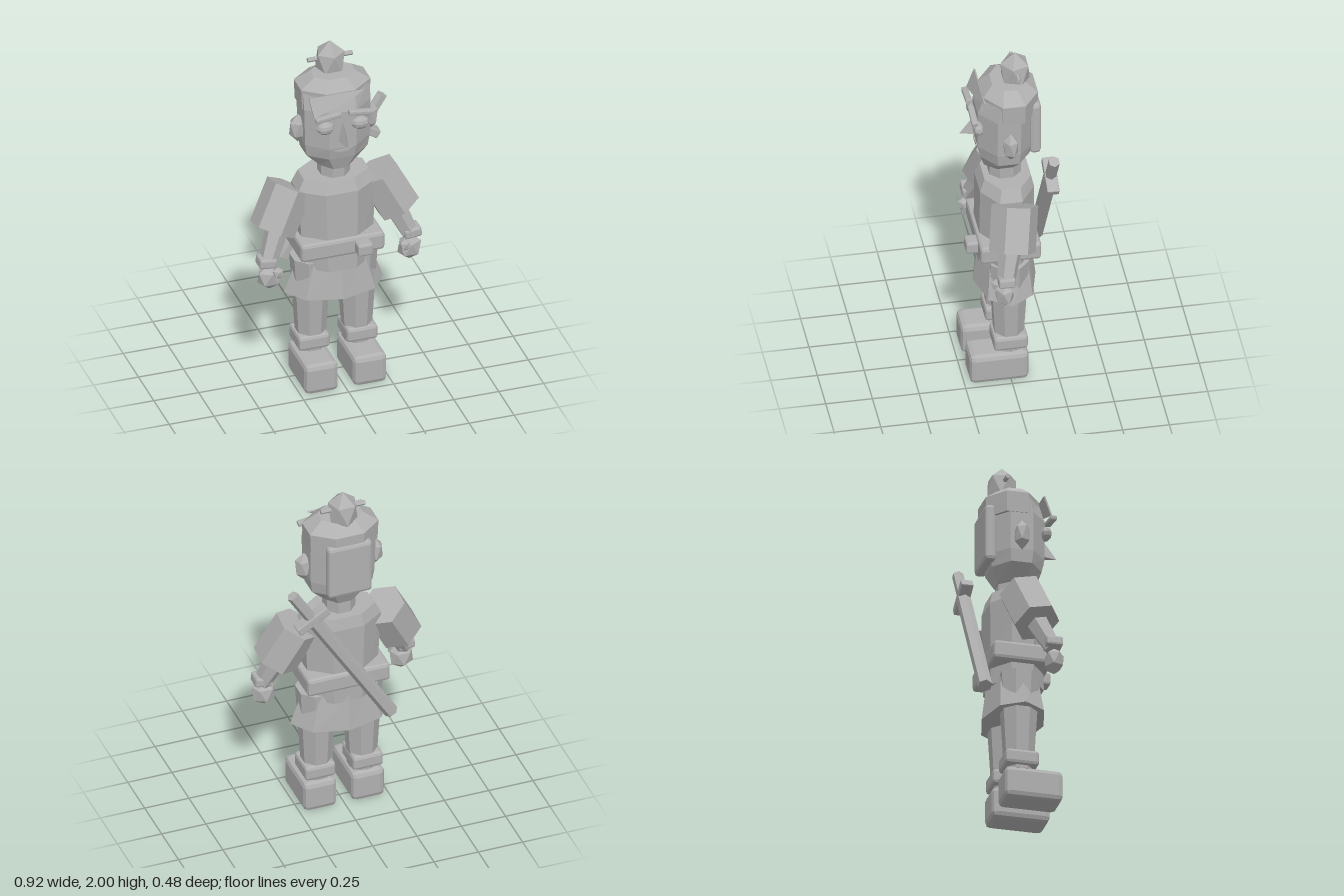
import * as THREE from 'three';
import { RoundedBoxGeometry } from 'three/addons/geometries/RoundedBoxGeometry.js';

// Stack of eight-sided rings [y, halfWidth, zFront, zBack], listed bottom to top.
function loft(rings, flatFront = true) {
  const n = 8, pos = [], idx = [];
  const phase = flatFront ? Math.PI / n : 0;
  const grow = flatFront ? 1 / Math.cos(Math.PI / n) : 1;
  for (const [y, rx, zf, zb] of rings) {
    for (let i = 0; i < n; i++) {
      const a = phase + (i / n) * Math.PI * 2;
      pos.push(Math.sin(a) * rx * grow, y, (zf + zb) / 2 + Math.cos(a) * ((zf - zb) / 2) * grow);
    }
  }
  const last = rings.length - 1, bottom = rings.length * n, top = bottom + 1;
  for (const [y, , zf, zb] of [rings[0], rings[last]]) pos.push(0, y, (zf + zb) / 2);
  for (let i = 0; i < n; i++) {
    const j = (i + 1) % n;
    for (let r = 0; r < last; r++) {
      const a = r * n, b = a + n;
      idx.push(a + i, a + j, b + j, a + i, b + j, b + i);
    }
    idx.push(bottom, j, i, top, last * n + i, last * n + j);
  }
  const g = new THREE.BufferGeometry();
  g.setAttribute('position', new THREE.Float32BufferAttribute(pos, 3));
  g.setIndex(idx);
  g.computeVertexNormals();
  return g;
}

// Icosahedron with a corner straight up, stretched to the given radii.
function gem(rx, ry, rz) {
  return new THREE.IcosahedronGeometry(1, 0)
    .rotateZ(Math.atan(2 / (1 + Math.sqrt(5)))).rotateY(Math.PI / 10).scale(rx, ry, rz);
}

const chamferBox = (w, h, d, r) => new RoundedBoxGeometry(w, h, d, 1, r);

export function createModel() {
  const model = new THREE.Group();
  const clay = new THREE.MeshStandardMaterial({ color: 0xb0b0b0, flatShading: true });
  clay.name = 'plain grey';

  function add(name, geometry, x = 0, y = 0, z = 0, parent = model) {
    const mesh = new THREE.Mesh(geometry, clay);
    mesh.name = name;
    mesh.position.set(x, y, z);
    parent.add(mesh);
    return mesh;
  }

  // Six-sided limb running between two points
  function limb(name, from, to, r0, r1) {
    const a = new THREE.Vector3(...from), b = new THREE.Vector3(...to);
    const dir = b.clone().sub(a), len = dir.length();
    const mesh = add(name, new THREE.CylinderGeometry(r0, r1, len, 6));
    mesh.position.copy(a).add(b).multiplyScalar(0.5);
    mesh.quaternion.setFromUnitVectors(new THREE.Vector3(0, 1, 0), dir.negate().normalize());
    return mesh;
  }

  // Head, hair and neck
  add('head', loft([
    [1.31, 0.09, 0.115, -0.09],
    [1.39, 0.17, 0.14, -0.13],
    [1.46, 0.18, 0.155, -0.145],
    [1.68, 0.185, 0.155, -0.15],
    [1.79, 0.185, 0.118, -0.15],
  ]));
  add('hairCap', loft([
    [1.67, 0.188, 0.125, -0.165],
    [1.785, 0.193, 0.125, -0.167],
    [1.84, 0.115, 0.072, -0.1],
  ]));
  add('backHair', chamferBox(0.25, 0.32, 0.06, 0.02), 0, 1.57, -0.148);
  add('neck', loft([[1.2, 0.08, 0.085, -0.085], [1.35, 0.08, 0.085, -0.085]]));
  add('topknot', gem(0.088, 0.118, 0.088), 0, 1.882, -0.058);
  add('hairPin', new THREE.CylinderGeometry(0.013, 0.013, 0.25, 6).rotateZ(Math.PI / 2), 0, 1.902, -0.058);

  // Fringe swept to one side
  const fringe = new THREE.Shape([
    [-0.18, 0], [0.13, 0], [0.02, -0.055], [-0.165, -0.11],
  ].map(([x, y]) => new THREE.Vector2(x, y)));
  add('fringe', new THREE.ExtrudeGeometry(fringe, { depth: 0.009, bevelEnabled: false }), 0, 1.78, 0.122).rotation.x = -0.4;

  // Face
  add('nose', new THREE.ConeGeometry(0.08, 0.11, 3).scale(0.5, 1, 1), 0, 1.56, 0.16);
  const smile = new THREE.Shape([
    [-0.05, 0], [-0.02, -0.012], [0.03, -0.01], [0.055, 0.008], [0.045, 0.014], [0, 0],
  ].map(([x, y]) => new THREE.Vector2(x, y)));
  add('mouth', new THREE.ExtrudeGeometry(smile, { depth: 0.009, bevelEnabled: false }), 0, 1.45, 0.15);

  // Paired parts
  for (const s of [1, -1]) {
    const side = s > 0 ? 'left' : 'right';
    add(side + 'Eye', new THREE.SphereGeometry(1, 8, 6).scale(0.05, 0.037, 0.03), s * 0.097, 1.6, 0.157);
    add(side + 'Eyebrow', chamferBox(0.142, 0.025, 0.034, 0.006), s * 0.092, 1.682, 0.184).rotation.z = -s * 0.13;
    add(side + 'Ear', gem(0.053, 0.085, 0.045), s * 0.198, 1.533, 0);

    // Legs and boots
    add(side + 'Leg', new THREE.CylinderGeometry(0.112, 0.078, 0.56, 8).rotateY(Math.PI / 8), s * 0.128, 0.46, 0);
    add(side + 'AnkleWrap', chamferBox(0.172, 0.085, 0.182, 0.018), s * 0.134, 0.238, 0);
    add(side + 'Ankle', new THREE.CylinderGeometry(0.07, 0.07, 0.06, 8), s * 0.134, 0.19, 0);
    add(side + 'Boot', chamferBox(0.186, 0.175, 0.315, 0.028), s * 0.135, 0.0885, 0.0625);

    // Arms: the right one swings slightly further forward
    const f = s > 0 ? 0 : 0.05;
    limb(side + 'Sleeve', [s * 0.24, 1.175, -0.015], [s * 0.355, 0.957, 0.02 + f * 0.4], 0.126, 0.126);
    limb(side + 'Forearm', [s * 0.32, 0.99, 0.02 + f * 0.4], [s * 0.41, 0.79, 0.065 + f], 0.066, 0.048);
    add(side + 'Cuff', chamferBox(0.095, 0.055, 0.09, 0.012), s * 0.412, 0.815, 0.062 + f).rotation.z = s * 0.12;
    add(side + 'Hand', gem(0.072, 0.075, 0.055), s * 0.398, 0.722, 0.07 + f);
    add(side + 'Thumb', gem(0.032, 0.035, 0.032), s * 0.362, 0.757, 0.105 + f);
  }

  // Tunic, skirt and belt
  add('tunic', loft([
    [0.7, 0.19, 0.15, -0.14],
    [1.17, 0.215, 0.145, -0.145],
    [1.237, 0.18, 0.118, -0.13],
  ]));
  add('skirt', loft([[0.53, 0.275, 0.17, -0.168], [0.735, 0.2, 0.142, -0.142]], false));
  add('belt', chamferBox(0.466, 0.105, 0.326, 0.018), 0, 0.843, 0.003);
  add('buckle', chamferBox(0.085, 0.07, 0.075, 0.012), 0.105, 0.842, 0.19);

  // Sword slung across the back
  const sword = new THREE.Group();
  sword.name = 'sword';
  sword.position.set(0.23, 1.335, -0.207);
  sword.rotation.z = -0.56;
  model.add(sword);
  const hex = (r, h) => new THREE.CylinderGeometry(r, r, h, 6).rotateY(Math.PI / 6);
  add('scabbard', hex(0.039, 0.84), 0, -0.42, 0, sword);
  add('guard', chamferBox(0.2, 0.048, 0.066, 0.006), 0, 0, 0, sword);
  add('grip', hex(0.031, 0.21), 0, 0.105, 0, sword);

  return model;
}
